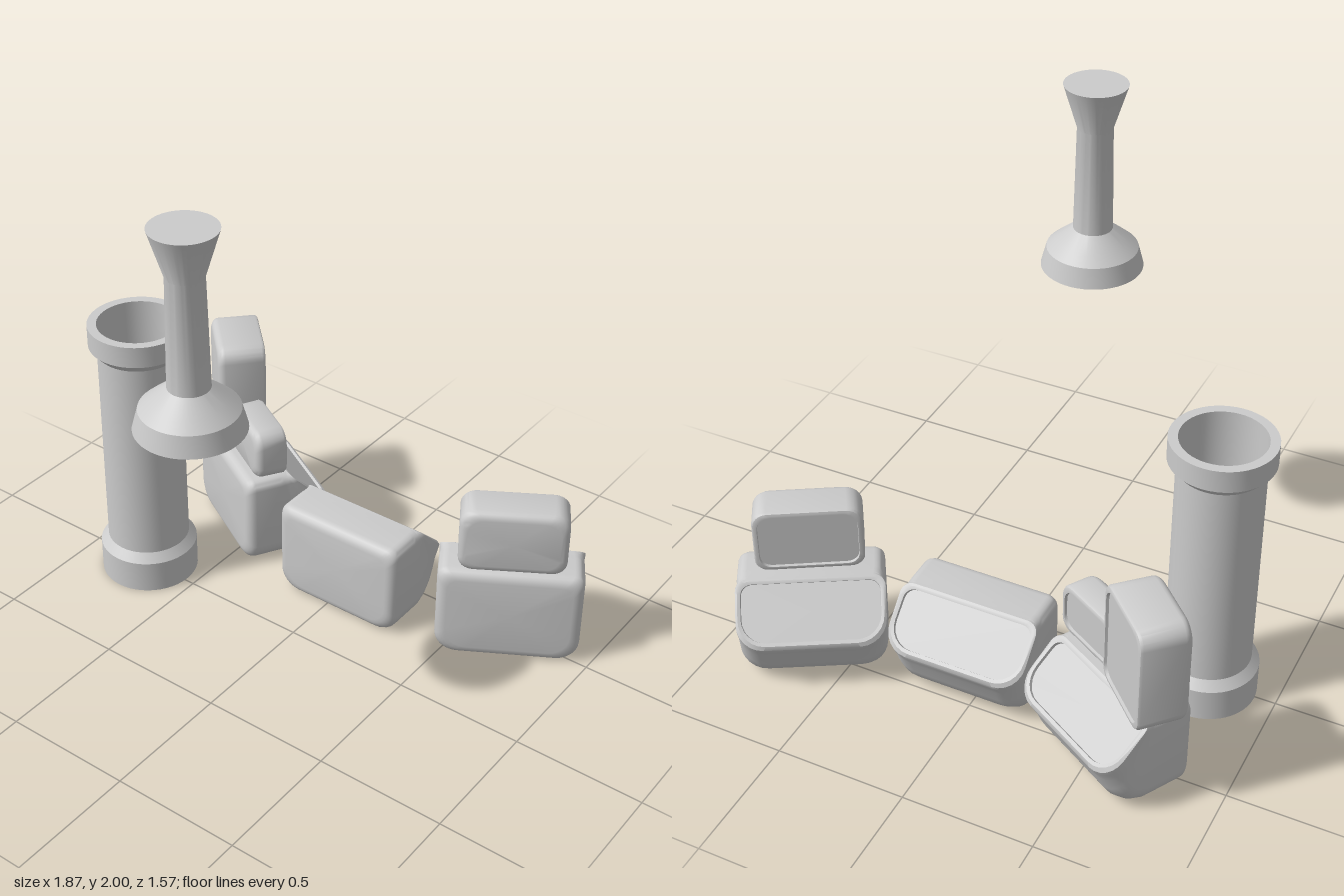
import * as THREE from 'three';
import { toCreasedNormals } from 'three/addons/utils/BufferGeometryUtils.js';

const material = new THREE.MeshStandardMaterial({ color: 0xcccccc });
const SEG = 6; // steps per rounded corner

function part(geometry, name, x, y, z, turn = 0, crease = 0.6) {
  const mesh = new THREE.Mesh(toCreasedNormals(geometry, crease), material);
  mesh.name = name;
  mesh.position.set(x, y, z);
  mesh.rotation.y = THREE.MathUtils.degToRad(turn);
  return mesh;
}

// Rounded rectangle as [x, t], t = 0 at the bottom and 1 at the top
function ringOutline(w, len, rTop, rBottom) {
  const pts = [];
  const corner = (sx, top, start) => {
    const r = top ? rTop : rBottom;
    const cy = top ? len - r : r;
    for (let i = 0; i <= SEG; i++) {
      const a = start + (i / SEG) * Math.PI / 2;
      pts.push([sx * (w - r) + r * Math.cos(a), (cy + r * Math.sin(a)) / len]);
    }
  };
  corner(1, false, -Math.PI / 2);
  corner(1, true, 0);
  corner(-1, true, Math.PI / 2);
  corner(-1, false, Math.PI);
  return pts;
}

// Skin over rings listed front to back:
// [top depth, top y, bottom depth, bottom y, half width, top radius, bottom radius]
function loft(rings) {
  const pos = [], index = [];
  const n = 4 * (SEG + 1);
  for (const [dT, yT, dB, yB, w, rT, rB] of rings) {
    const len = Math.hypot(yT - yB, dT - dB);
    for (const [x, t] of ringOutline(w, len, rT, rB)) {
      pos.push(x, yB + (yT - yB) * t, -(dB + (dT - dB) * t));
    }
  }
  const centre = ([dT, yT, dB, yB]) => pos.push(0, (yT + yB) / 2, -(dT + dB) / 2);
  centre(rings[0]);
  centre(rings[rings.length - 1]);
  const front = rings.length * n, last = (rings.length - 1) * n;
  for (let i = 0; i < n; i++) {
    const j = (i + 1) % n;
    index.push(front, i, j, front + 1, last + j, last + i);
    for (let k = 0; k < last; k += n) {
      index.push(k + i, k + n + i, k + n + j, k + i, k + n + j, k + j);
    }
  }
  const g = new THREE.BufferGeometry();
  g.setAttribute('position', new THREE.Float32BufferAttribute(pos, 3));
  g.setIndex(index);
  return g;
}

// Softly rounded front edge shared by all the blocks
function frontRings(w, h, r, rTop, rBottom) {
  const rings = [];
  for (let i = 0; i <= 5; i++) {
    const a = (i / 5) * Math.PI / 2;
    const d = r * (1 - Math.cos(a)), inset = r * (1 - Math.sin(a));
    rings.push([d, h - inset, d, inset, w - inset, rTop, rBottom]);
  }
  return rings;
}

// Large block with a slanted, lipped face at the back
function baseBlock() {
  return loft([
    ...frontRings(0.272, 0.39, 0.04, 0.04, 0.08),
    [0.14, 0.39, 0.2, 0, 0.272, 0.04, 0.08],
    [0.155, 0.39, 0.25, 0.012, 0.27, 0.04, 0.09],
    [0.165, 0.39, 0.29, 0.045, 0.27, 0.04, 0.1],
    [0.172, 0.39, 0.315, 0.09, 0.27, 0.04, 0.1],
    [0.177, 0.39, 0.335, 0.145, 0.272, 0.045, 0.1],
    [0.18, 0.39, 0.36, 0.185, 0.274, 0.045, 0.1],
    [0.185, 0.39, 0.37, 0.205, 0.274, 0.045, 0.1],
    [0.192, 0.385, 0.368, 0.222, 0.266, 0.045, 0.1],
    [0.198, 0.375, 0.357, 0.23, 0.255, 0.04, 0.09],
    [0.19, 0.367, 0.349, 0.222, 0.253, 0.04, 0.09],
  ]);
}

// Smaller block with an upright, lipped back face
function topBlock(width, h, d) {
  const w = width / 2, rings = frontRings(w, h, 0.03, 0.06, 0.05);
  for (const [depth, inset] of [[d - 0.012, 0], [d - 0.003, 0.004], [d, 0.01], [d, 0.018], [d - 0.01, 0.02]]) {
    rings.push([depth, h - inset, depth, inset, w - inset, 0.055, 0.045]);
  }
  return loft(rings).translate(0, 0, d / 2);
}

const lathe = (points) =>
  new THREE.LatheGeometry(points.map(([r, y]) => new THREE.Vector2(r, y)), 48);

export function createModel() {
  const model = new THREE.Group();

  // Open pipe with a collar at each end
  model.add(part(lathe([
    [0.155, 0], [0.19, 0], [0.19, 0.13], [0.16, 0.165], [0.158, 1.0],
    [0.19, 1.035], [0.19, 1.12], [0.155, 1.12], [0.155, 0],
  ]), 'pipe', -0.73, 0, -0.01, 0, 0.4));

  // Raised column with a flared head and a hollow bell foot
  model.add(part(lathe([
    [0, 1.41], [0.06, 1.41], [0.158, 1.345], [0.18, 1.28], [0.19, 1.28],
    [0.17, 1.355], [0.135, 1.385], [0.073, 1.435], [0.065, 1.835], [0.116, 2], [0, 2],
  ]), 'hangingColumn', 0.035, 0, 0.595, 0, 0.4));

  // Curved row of three large blocks
  for (const [name, x, z, turn] of [
    ['centreBaseBlock', 0.047, -0.385, 0],
    ['rightBaseBlock', -0.537, -0.52, -30],
    ['leftBaseBlock', 0.637, -0.52, 30],
  ]) {
    model.add(part(baseBlock().translate(0, 0, 0.185), name, x, 0, z, turn));
  }

  // Blocks stacked on the two end blocks
  for (const [name, w, h, d, x, z, turn] of [
    ['leftTopBlock', 0.4, 0.262, 0.16, 0.69, -0.425, 31],
    ['rightSmallTopBlock', 0.3, 0.205, 0.13, -0.465, -0.385, -30],
    ['rightTallTopBlock', 0.32, 0.42, 0.19, -0.71, -0.57, -45],
  ]) {
    model.add(part(topBlock(w, h, d), name, x, 0.403, z, turn));
  }
  return model;
}
